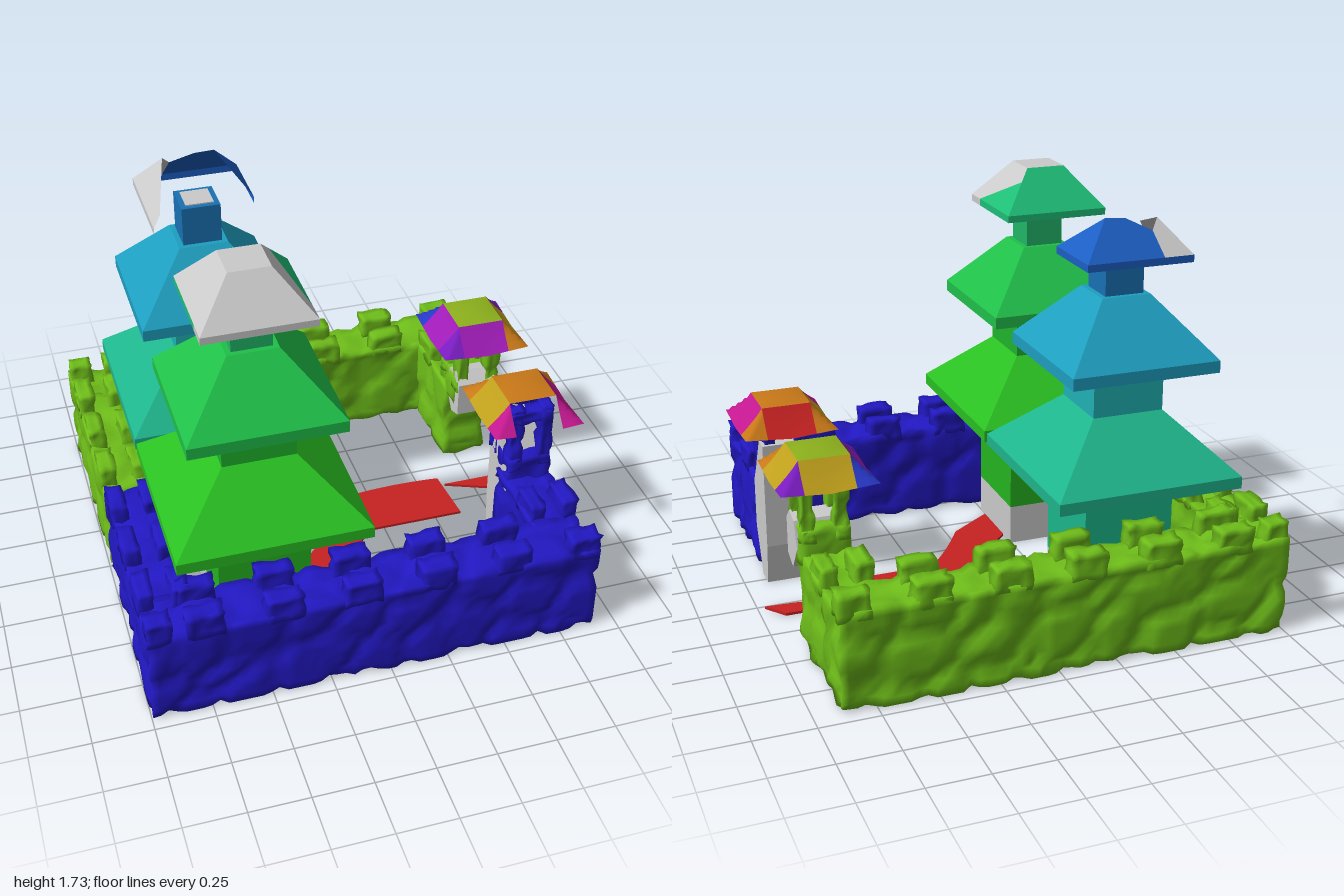
import * as THREE from 'three';
import { mergeVertices } from 'three/addons/utils/BufferGeometryUtils.js';

const GREY = 0xcccccc, BLUE = 0x2218c4, GREEN = 0x6fbe1a, RED = 0xc82222;

function add(parent, name, geo, color, flat = true, side = THREE.FrontSide) {
  const mat = new THREE.MeshStandardMaterial({ color, flatShading: flat, side });
  const m = new THREE.Mesh(geo, mat);
  m.name = name;
  parent.add(m);
  return m;
}

function box(parent, name, [x0, x1], [y0, y1], [z0, z1], color) {
  const g = new THREE.BoxGeometry(x1 - x0, y1 - y0, z1 - z0);
  g.translate((x0 + x1) / 2, (y0 + y1) / 2, (z0 + z1) / 2);
  return add(parent, name, g, color);
}

// Flat polygon from a short list of corners
function face(parent, name, pts, color) {
  const g = new THREE.BufferGeometry();
  g.setAttribute('position', new THREE.Float32BufferAttribute(pts.flat(), 3));
  const idx = [];
  for (let i = 1; i < pts.length - 1; i++) idx.push(0, i, i + 1);
  g.setIndex(idx);
  g.computeVertexNormals();
  return add(parent, name, g, color, true, THREE.DoubleSide);
}

const hash = (i, j, k, s) => {
  const v = Math.sin(i * 127.1 + j * 311.7 + k * 74.7 + s * 53.3) * 43758.5453;
  return v - Math.floor(v);
};

// Depth of the stone pattern: joints between irregular cells sink in
function stoneDepth(p, cell) {
  const q = [p.x / cell, p.y / cell, p.z / cell], b = q.map(Math.floor);
  let d1 = 9, d2 = 9, r = 0;
  for (let i = -1; i < 2; i++) for (let j = -1; j < 2; j++) for (let k = -1; k < 2; k++) {
    const c = [b[0] + i, b[1] + j, b[2] + k];
    const d = Math.hypot(...c.map((n, a) => n + hash(...c, a) - q[a]));
    if (d < d1) { d2 = d1; d1 = d; r = hash(...c, 7); } else if (d < d2) d2 = d;
  }
  return (0.1 * (1 - THREE.MathUtils.smoothstep(d2 - d1, 0, 0.3)) + 0.035 * r) * cell;
}

// Rough stone block whose surface is pressed towards its core
function stone(parent, name, X, Y, Z, color, cell = 0.22, step = 0.035) {
  const s = [X, Y, Z].map(r => r[1] - r[0]);
  const c = new THREE.Vector3(...[X, Y, Z].map(r => (r[0] + r[1]) / 2));
  let g = new THREE.BoxGeometry(...s, ...s.map(v => Math.max(2, Math.round(v / step))));
  g.deleteAttribute('uv');
  g.deleteAttribute('normal');
  g = mergeVertices(g);
  const lim = new THREE.Vector3(...s).multiplyScalar(0.5).subScalar(Math.min(...s) * 0.3);
  const p = new THREE.Vector3(), core = new THREE.Vector3(), pos = g.attributes.position;
  for (let i = 0; i < pos.count; i++) {
    p.fromBufferAttribute(pos, i);
    core.copy(p).clamp(lim.clone().negate(), lim).sub(p).normalize();
    const d = stoneDepth(p.clone().add(c), cell);
    p.addScaledVector(core, d).add(c);
    pos.setXYZ(i, p.x, p.y, p.z);
  }
  g.computeVertexNormals();
  return add(parent, name, g, color, false);
}

const merlon = (parent, x, z, w, d, color) =>
  stone(parent, 'merlon', [x - w / 2, x + w / 2], [0.38, 0.5], [z - d / 2, z + d / 2], color, 0.12, 0.03);

function buildWalls(root) {
  const walls = new THREE.Group();
  walls.name = 'walls';
  root.add(walls);
  for (const s of [1, -1]) {
    const color = s > 0 ? BLUE : GREEN;
    const Z = (a, b) => [s * a, s * b].sort((m, n) => m - n);
    stone(walls, s > 0 ? 'frontWall' : 'backWall', [-1, 0.9], [0, 0.425], Z(0.7, 0.95), color);
    stone(walls, 'leftWall', [-1, -0.78], [0, 0.425], Z(0, 0.74), color);
    stone(walls, 'gateWall', [0.68, 0.9], [0, 0.425], Z(0.32, 0.74), color);
    // Battlements on the outer and inner edges
    merlon(walls, -0.945, s * 0.905, 0.11, 0.09, color);
    for (let i = 0; i < 6; i++) {
      const x = i < 5 ? -0.76 + i * 0.32 : 0.83;
      merlon(walls, x, s * 0.905, i < 5 ? 0.16 : 0.14, 0.09, color);
      if (i < 5) merlon(walls, x, s * 0.74, 0.16, 0.08, color);
    }
    for (const z of [0.13, 0.41, 0.69]) {
      merlon(walls, -0.96, s * z, 0.08, 0.16, color);
      merlon(walls, -0.82, s * z, 0.08, 0.16, color);
    }
    for (const x of [0.72, 0.86]) merlon(walls, x, s * 0.63, 0.08, 0.16, color);
  }
}

// Tiered tower below its top roof; sizes are half widths
function buildTower(root, name, z, colors) {
  const t = new THREE.Group();
  t.name = name;
  t.position.set(-0.44, 0, z);
  root.add(t);
  const block = (n, h, y0, y1, c) => box(t, n, [-h, h], [y0, y1], [-h, h], c);
  const tier = (n, h, top, y0, y1, y2, c) => {
    block(n + 'Eave', h, y0, y1, c);
    const g = new THREE.CylinderGeometry(top * Math.SQRT2, h * Math.SQRT2, y2 - y1, 4);
    g.rotateY(Math.PI / 4).translate(0, (y1 + y2) / 2, 0);
    add(t, n, g, c);
  };
  block('towerFoot', 0.195, 0, 0.18, GREY);
  block('towerBody', 0.195, 0.18, 0.61, colors[0]);
  tier('lowerRoof', 0.4, 0.15, 0.61, 0.66, 0.9, colors[1]);
  block('middleStorey', 0.153, 0.89, 1.09, colors[2]);
  tier('middleRoof', 0.318, 0.105, 1.09, 1.14, 1.38, colors[3]);
  block('topStorey', 0.083, 1.37, 1.55, colors[4]);
  return t;
}

// Point on the slope of a top roof
const H = 0.227, T = 0.085;
const slope = ([x, z]) => [x, 1.56 + (H - Math.max(Math.abs(x), Math.abs(z))) * 1.2, z];

function buildTowers(root) {
  // Front tower with a complete top roof
  const a = buildTower(root, 'frontTower', 0.415, [0x25b41f, 0x2ac022, 0x1fb42c, 0x20c04a, 0x20b868]);
  const teal = 0x1fbf78;
  box(a, 'topEaveBack', [-H, H], [1.53, 1.56], [-H, 0.125], teal);
  box(a, 'topEaveFront', [-H, H], [1.53, 1.56], [0.125, H], GREY);
  const roofA = (pts, c) => face(a, 'topRoof', pts.map(slope), c);
  roofA([[-H, H], [H, H], [T, T], [-T, T]], GREY);
  roofA([[-H, -H], [-H, H], [-T, T], [-T, -T]], GREY);
  roofA([[-T, T], [T, T], [T, -T], [-T, -T]], GREY);
  roofA([[H, -H], [-H, -H], [-T, -T], [T, -T]], teal);
  roofA([[H, 0.125], [H, -H], [0.127, -0.127]], teal);
  roofA([[H, H], [H, 0.125], [0.127, -0.127], [T, -T], [T, T]], GREY);

  // Back tower whose top roof is a broken shell
  const b = buildTower(root, 'backTower', -0.415, [0x1ab78a, 0x1fb58c, 0x20b2b4, 0x1e9fc0, 0x1872b4]);
  const blue = 0x1c5fc4;
  box(b, 'topCap', [-0.06, 0.06], [1.55, 1.555], [-0.06, 0.06], GREY);
  const roofB = (pts, c) => face(b, 'brokenRoof', pts.map(slope), c);
  roofB([[H, -H], [-0.1, -H], [-0.08, -0.15], [0.02, -0.11], [0.105, -0.105]], blue);
  roofB([[-0.1, -H], [-H, -H], [-0.115, -0.115], [-0.08, -0.15]], GREY);
  roofB([[H, 0.08], [H, -H], [0.105, -0.105]], blue);
  roofB([[-H, -H], [-H, H], [-0.193, 0.193], [-0.115, -0.115]], GREY);
  const rim = (x0, z0, x1, z1, c) =>
    face(b, 'brokenEave', [[x0, 1.53, z0], [x1, 1.53, z1], [x1, 1.56, z1], [x0, 1.56, z0]], c);
  rim(H, -H, -H, -H, blue);
  rim(H, 0.08, H, -H, blue);
  rim(-H, -H, -H, H, GREY);
}

// Domed square roof made of a 3 x 3 patchwork; null leaves a hole
function patchRoof(parent, z, cells) {
  const cuts = [-0.2, -0.105, 0.105, 0.2];
  cells.forEach((row, r) => row.forEach((color, c) => {
    if (color === null) return;
    const w = cuts[c + 1] - cuts[c], d = cuts[r + 1] - cuts[r];
    const g = new THREE.PlaneGeometry(w, d, 4, 4).rotateX(-Math.PI / 2);
    g.translate(cuts[c] + w / 2, 0, cuts[r] + d / 2);
    const p = g.attributes.position;
    for (let i = 0; i < p.count; i++) {
      const x = p.getX(i), v = p.getZ(i), m = Math.max(Math.abs(x), Math.abs(v));
      const k = Math.max(0, (m - 0.1) / 0.1);
      p.setY(i, 0.835 - 0.125 * Math.pow(k, 0.85) + 0.015 * k * Math.min(Math.abs(x), Math.abs(v)) / 0.2);
    }
    g.translate(0.79, 0, z).computeVertexNormals();
    add(parent, 'roofPatch', g, color, false, THREE.DoubleSide);
  }));
}

// Broken masonry beside the gate, outlined in z and y
function jamb(parent, pts) {
  const s = new THREE.Shape(pts.map(([z, y]) => new THREE.Vector2(-z, y)));
  const g = new THREE.ExtrudeGeometry(s, { depth: 0.2, bevelEnabled: false });
  g.rotateY(Math.PI / 2).translate(0.7, 0, 0);
  add(parent, 'gateJamb', g, GREY);
}

function buildGate(root) {
  const gate = new THREE.Group();
  gate.name = 'gate';
  root.add(gate);
  for (const s of [1, -1]) {
    const color = s > 0 ? BLUE : GREEN;
    const Z = (a, b) => [s * a, s * b].sort((m, n) => m - n);
    stone(gate, 'turretBase', [0.69, 0.9], [0.36, 0.53], Z(s > 0 ? 0.3 : 0.24, 0.42), color, 0.15);
    for (const x of [0.69, 0.83]) for (const z of [0.205, 0.35])
      stone(gate, 'turretPost', [x, x + 0.07], [0.46, 0.79], Z(z, z + 0.07), color, 0.15, 0.025);
    for (const z of [0.205, 0.35])
      stone(gate, 'turretLintel', [0.69, 0.9], [0.7, 0.77], Z(z, z + 0.07), color, 0.15, 0.025);
  }
  jamb(gate, [[0.4, 0.2], [0.4, 0.42], [0.35, 0.5], [0.27, 0.65], [0.2, 0.65], [0.2, 0.18], [0.22, 0], [0.31, 0]]);
  jamb(gate, [[-0.2, 0.34], [-0.2, 0.5], [-0.25, 0.55], [-0.32, 0.53], [-0.36, 0.42], [-0.28, 0.31]]);
  const mag = 0xc41890, org = 0xc87818, yel = 0xc0a01c, pur = 0x7a1cc0, vio = 0xa01cb8;
  patchRoof(gate, 0.3, [[org, RED, org], [yel, org, mag], [mag, null, mag]]);
  patchRoof(gate, -0.31, [[0x2838c8, yel, pur], [vio, 0x8cb01c, yel], [pur, vio, org]]);
}

// Forked path from the gate to both towers
function buildPath(root) {
  const s = new THREE.Shape();
  s.moveTo(0.62, -0.1);
  s.lineTo(0.18, -0.1);
  s.quadraticCurveTo(0.08, -0.2, -0.04, -0.4);
  s.lineTo(-0.24, -0.54);
  s.lineTo(-0.24, -0.3);
  s.lineTo(-0.04, -0.1);
  s.quadraticCurveTo(0.1, 0.04, -0.04, 0.14);
  s.lineTo(-0.24, 0.26);
  s.lineTo(-0.24, 0.42);
  s.lineTo(-0.04, 0.43);
  s.quadraticCurveTo(0.06, 0.34, 0.02, 0.26);
  s.quadraticCurveTo(0.14, 0.15, 0.2, 0.16);
  s.quadraticCurveTo(0.4, 0.18, 0.6, 0.16);
  const opt = { depth: 0.012, bevelEnabled: false };
  const lay = (n, sh) => add(root, n, new THREE.ExtrudeGeometry(sh, opt).rotateX(-Math.PI / 2), RED);
  lay('path', s);
  const flap = [[0.62, 0.11], [0.82, 0.03], [0.97, 0.02], [0.9, 0.11]];
  lay('pathEnd', new THREE.Shape(flap.map(p => new THREE.Vector2(...p))));
}

export function createModel() {
  const root = new THREE.Group();
  root.name = 'castle';
  buildWalls(root);
  buildTowers(root);
  buildGate(root);
  buildPath(root);
  return root;
}
